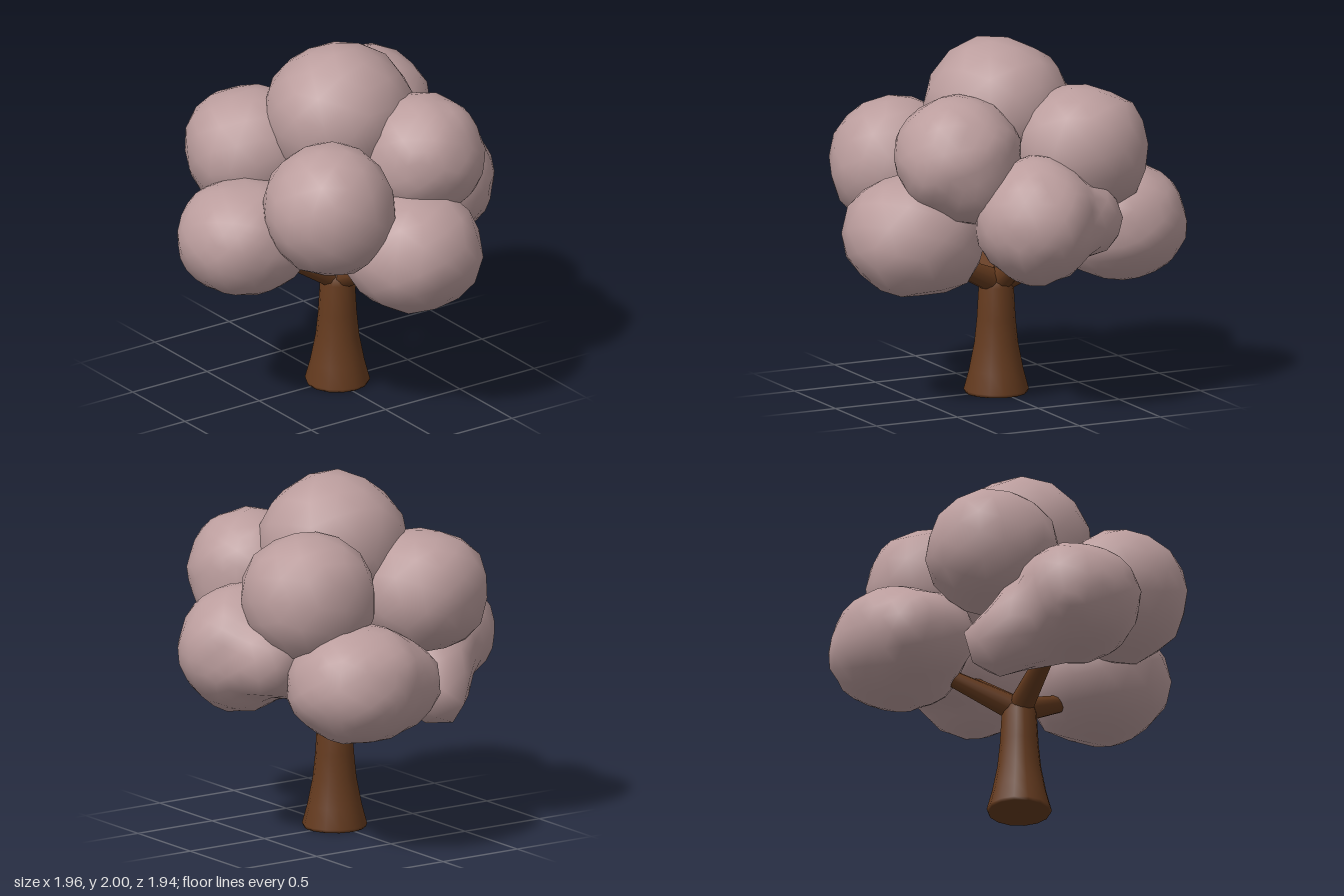
import * as THREE from 'three';
import { mergeVertices } from 'three/addons/utils/BufferGeometryUtils.js';

const blossom = new THREE.MeshStandardMaterial({ name: 'dusty pink', color: 0xbb9d9d });
const bark = new THREE.MeshStandardMaterial({ name: 'brown bark', color: 0x643a1e });

// Distance along direction d to the far side of a ball, or 0 where it is missed
function ballReach(d, centre, r) {
  const b = d.dot(centre);
  const disc = b * b - centre.lengthSq() + r * r;
  return b > 0 && disc > 0 ? b + Math.sqrt(disc) : 0;
}

// Rough rounded clump. power above 2 makes it boxier; lobes [x, y, z, r] swell out of its sides
function foliageClump({ name, at, size, power = 2, lobes = [] }, seed) {
  let geo = new THREE.IcosahedronGeometry(1, lobes.length ? 4 : 2);
  geo.deleteAttribute('normal');
  geo.deleteAttribute('uv');
  geo = mergeVertices(geo, 1e-4);
  geo.rotateY(seed * 1.3);
  geo.rotateX(seed * 0.7);
  const balls = lobes.map(([x, y, z, r]) => [new THREE.Vector3(x - at[0], y - at[1], z - at[2]), r]);
  const pos = geo.attributes.position;
  const d = new THREE.Vector3();
  for (let i = 0; i < pos.count; i++) {
    d.fromBufferAttribute(pos, i).normalize();
    const sum = d.toArray().reduce((s, c, k) => s + Math.abs(c / size[k]) ** power, 0);
    const reach = Math.max(sum ** (-1 / power), ...balls.map(([c, r]) => ballReach(d, c, r)));
    const lump = Math.sin(4.1 * d.x + seed * 2.1) * Math.sin(3.7 * d.y + seed) * Math.sin(4.4 * d.z + seed * 3.3);
    const grain = Math.sin(13 * d.x + 17 * d.y + 11 * d.z + seed * 5);
    d.multiplyScalar(reach * (1.012 + 0.025 * lump + 0.017 * grain));
    pos.setXYZ(i, d.x, d.y, d.z);
  }
  geo.computeVertexNormals();
  const mesh = new THREE.Mesh(geo, blossom);
  mesh.name = name;
  mesh.position.set(...at);
  return mesh;
}

// Tapered limb between two points
function branch(name, from, to, r0, r1) {
  const a = new THREE.Vector3(...from), b = new THREE.Vector3(...to);
  const dir = b.clone().sub(a);
  const mesh = new THREE.Mesh(new THREE.CylinderGeometry(r1, r0, dir.length(), 10), bark);
  mesh.name = name;
  mesh.position.copy(a).add(b).multiplyScalar(0.5);
  mesh.quaternion.setFromUnitVectors(new THREE.Vector3(0, 1, 0), dir.normalize());
  return mesh;
}

export function createModel() {
  const tree = new THREE.Group();
  tree.name = 'tree';

  // Flared trunk with a closed base
  const profile = [[0, 0], [0.172, 0], [0.18, 0.018], [0.15, 0.13], [0.121, 0.28], [0.107, 0.42], [0.097, 0.6], [0.075, 0.68], [0, 0.71]];
  const trunk = new THREE.Mesh(
    new THREE.LatheGeometry(profile.map(([r, y]) => new THREE.Vector2(r, y)), 14), bark);
  trunk.name = 'trunk';
  trunk.position.set(0.016, 0, 0.015);
  tree.add(trunk);

  // Four branches reaching into the lower clumps
  const fork = [0.016, 0.62, 0.01];
  const tips = {
    rightBranch: [-0.44, 0.88, -0.01],
    frontBranch: [0.12, 0.81, 0.42],
    leftBranch: [0.4, 0.93, -0.1],
    backBranch: [0.16, 0.82, -0.42],
  };
  for (const [name, tip] of Object.entries(tips)) tree.add(branch(name, fork, tip, 0.072, 0.04));

  // Foliage: one crown, four upper and four lower clumps
  const clumps = [
    { name: 'crownClump', at: [0.025, 1.6, 0.015], size: [0.41, 0.395, 0.4], power: 2.08 },
    { name: 'upperFrontRightClump', at: [-0.345, 1.27, 0.45], size: [0.36, 0.37, 0.37] },
    { name: 'upperFrontLeftClump', at: [0.31, 1.42, 0.4], size: [0.345, 0.34, 0.35], lobes: [[0.38, 1.33, 0.37, 0.265]] },
    { name: 'upperBackLeftClump', at: [0.415, 1.42, -0.3], size: [0.36, 0.345, 0.37], power: 2.25 },
    { name: 'upperBackRightClump', at: [-0.32, 1.365, -0.335], size: [0.365, 0.335, 0.36], power: 2.15 },
    { name: 'lowerRightClump', at: [-0.61, 1.02, 0.015], size: [0.365, 0.31, 0.35], power: 2.15,
      lobes: [[-0.42, 0.8, -0.32, 0.21], [-0.5, 0.91, -0.17, 0.25]] },
    { name: 'lowerFrontClump', at: [0.125, 0.96, 0.575], size: [0.375, 0.33, 0.385], power: 2.22 },
    { name: 'lowerLeftClump', at: [0.605, 1.09, 0.06], size: [0.36, 0.35, 0.34],
      lobes: [[0.63, 1.08, -0.2, 0.22], [0.46, 1.04, -0.16, 0.22]] },
    { name: 'lowerBackClump', at: [0.29, 0.97, -0.59], size: [0.38, 0.32, 0.37], power: 2.2,
      lobes: [[0.08, 0.95, -0.63, 0.26], [0.07, 0.97, -0.52, 0.25], [0.23, 0.89, -0.62, 0.25]] },
  ];
  clumps.forEach((clump, i) => tree.add(foliageClump(clump, i + 1)));

  return tree;
}
